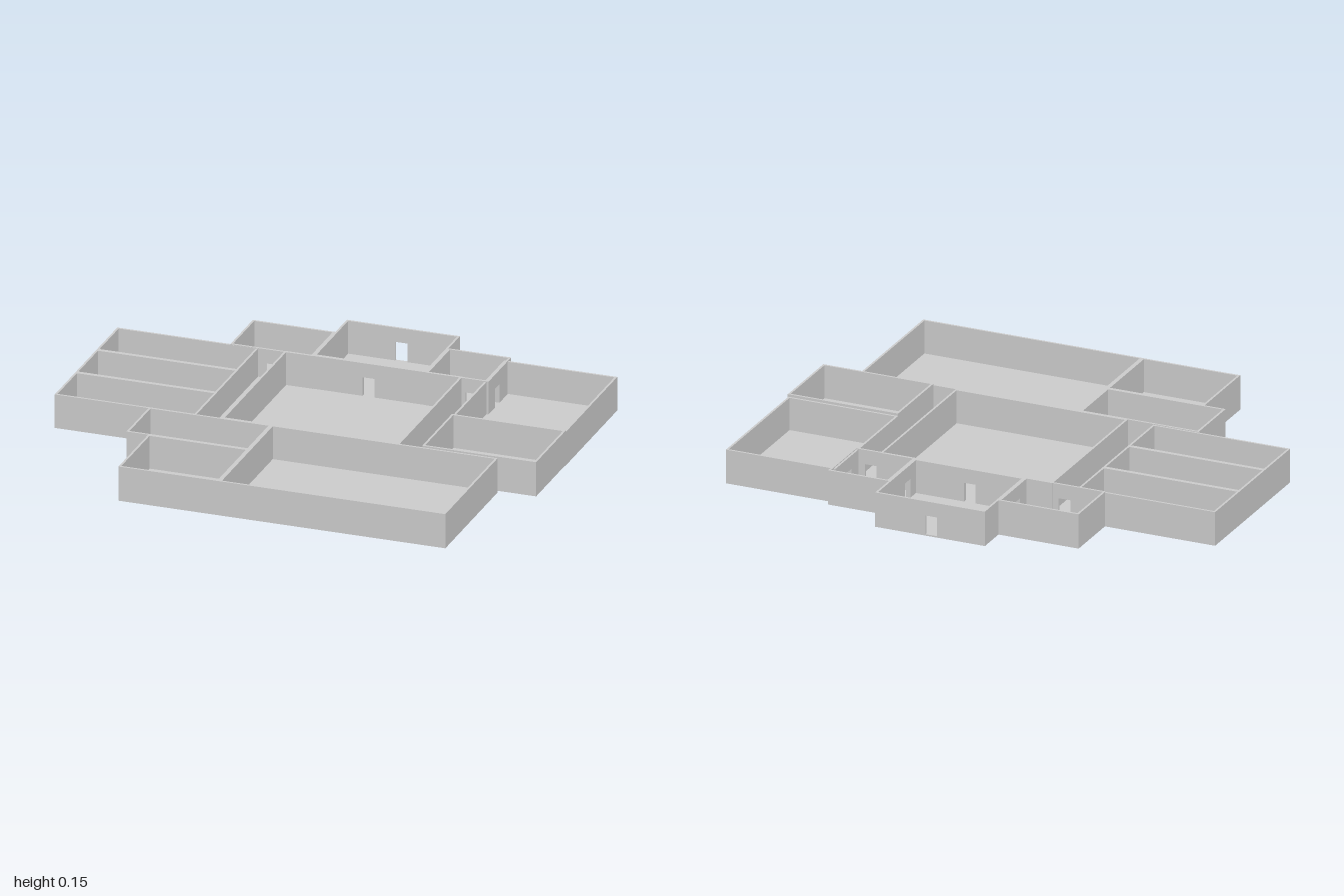
import * as THREE from 'three';

const T = 0.009;            // wall thickness
const FLOOR = 0.006;        // slab thickness
const DOOR = { w: 0.05, h: 0.085 };

// Outer rectangles of the rooms; doors are [side, position along that wall]
const ROOMS = [
  { name: 'entranceRoom', x: [-0.185, 0.285], z: [-0.835, -0.463], doors: [['back', 0.045], ['front', 0.045], ['left', -0.55], ['right', -0.55]] },
  { name: 'backRightRoom', x: [-0.528, -0.185], z: [-0.707, -0.452], doors: [['front', -0.355], ['left', -0.55]] },
  { name: 'backLeftRoom', x: [0.285, 0.545], z: [-0.707, -0.452], doors: [['front', 0.475], ['right', -0.55], ['left', -0.55]] },
  { name: 'centralHall', x: [-0.305, 0.433], z: [-0.463, 0.244], doors: [['back', 0.045]] },
  { name: 'leftWingLargeRoom', x: [0.527, 0.997], z: [-0.677, -0.089], doors: [['right', -0.55]], h: 0.142 },
  { name: 'leftWingSmallRoom', x: [0.527, 1.0], z: [-0.089, 0.245], y: 0.007 },
  { name: 'rightWingRoom', x: [-1.0, -0.413], z: [-0.46, -0.227], h: 0.142 },
  { name: 'rightWingRoom', x: [-1.0, -0.413], z: [-0.227, 0.01], h: 0.142 },
  { name: 'rightWingRoom', x: [-1.0, -0.413], z: [0.01, 0.245], h: 0.142 },
  { name: 'frontSideRoom', x: [-0.608, -0.1], z: [0.244, 0.498] },
  { name: 'frontCornerRoom', x: [-0.518, -0.1], z: [0.498, 0.833] },
  { name: 'frontMainRoom', x: [-0.1, 0.84], z: [0.244, 0.833] },
];
const CORRIDORS = [
  { name: 'rightCorridorFloor', x: [-0.413, -0.305], z: [-0.452, 0.244] },
  { name: 'leftCorridorFloor', x: [0.433, 0.527], z: [-0.452, 0.244] },
];

export function createModel() {
  const model = new THREE.Group();
  const material = new THREE.MeshStandardMaterial({ color: 0xcccccc, flatShading: true });

  function slab(name, { x, z }, y) {
    const geo = new THREE.BoxGeometry(x[1] - x[0], FLOOR, z[1] - z[0]);
    const mesh = new THREE.Mesh(geo, material);
    mesh.name = name;
    mesh.position.set((x[0] + x[1]) / 2, y + FLOOR / 2, (z[0] + z[1]) / 2);
    return mesh;
  }

  // Wall elevation from a to b, cut by doorways, extruded to the wall thickness
  function wall(a, b, height, doors) {
    const shape = new THREE.Shape();
    shape.moveTo(a, 0).lineTo(b, 0).lineTo(b, height).lineTo(a, height).closePath();
    for (const c of doors) {
      const l = c - DOOR.w / 2, r = c + DOOR.w / 2;
      const hole = new THREE.Path();
      hole.moveTo(l, FLOOR).lineTo(l, DOOR.h).lineTo(r, DOOR.h).lineTo(r, FLOOR).closePath();
      shape.holes.push(hole);
    }
    return new THREE.ExtrudeGeometry(shape, { depth: T, bevelEnabled: false });
  }

  function room(spec) {
    const { name, x, z, y = 0, h = 0.145, doors = [] } = spec;
    const group = new THREE.Group();
    group.name = name;
    group.add(slab('floor', spec, y));
    const at = side => doors.filter(d => d[0] === side).map(d => d[1]);
    const add = (side, geo) => {
      const mesh = new THREE.Mesh(geo, material);
      mesh.name = side + 'Wall';
      mesh.position.y = y;
      group.add(mesh);
    };
    // Front and back walls run along x
    add('back', wall(x[0], x[1], h, at('back')).translate(0, 0, z[0]));
    add('front', wall(x[0], x[1], h, at('front')).translate(0, 0, z[1] - T));
    // Side walls run along z; 'right' is the -x side
    for (const [side, px] of [['right', x[0]], ['left', x[1] - T]]) {
      const positions = at(side).map(c => -c);
      add(side, wall(-z[1], -z[0], h, positions).rotateY(Math.PI / 2).translate(px, 0, 0));
    }
    return group;
  }

  // The wing room meeting the back left room shares its doorway
  ROOMS.forEach(spec => model.add(room(spec)));

  // Corridor floors sit slightly higher, between the neighbouring walls
  CORRIDORS.forEach(c => model.add(slab(c.name, c, 0.018)));
  return model;
}
